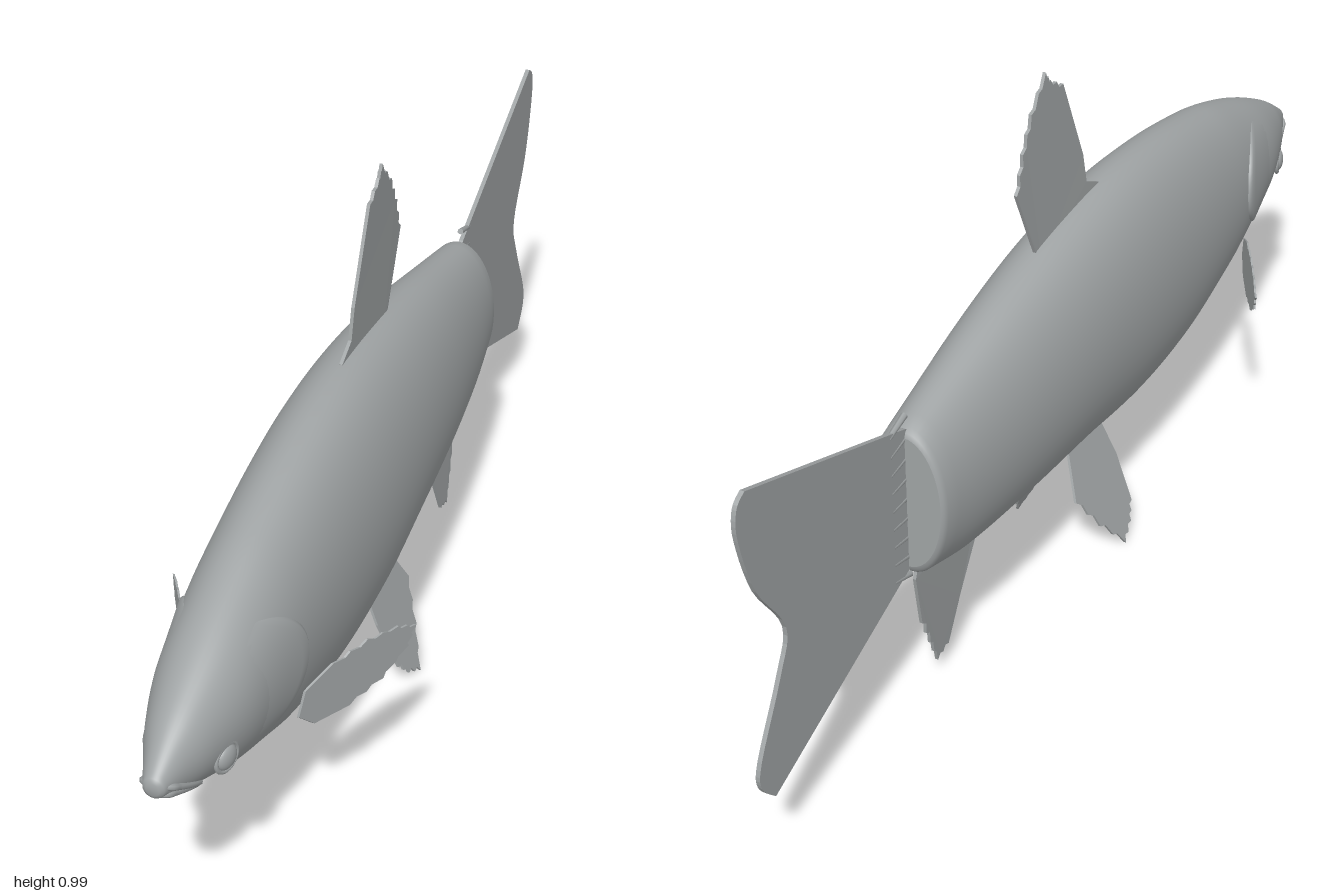
import * as THREE from 'three';

// Body stations: z, top y, bottom y, half width
const STATIONS = [
  [1, 0.468, 0.436, 0.016], [0.95, 0.502, 0.405, 0.036], [0.9, 0.532, 0.382, 0.056],
  [0.8, 0.58, 0.338, 0.084], [0.7, 0.618, 0.298, 0.096], [0.6, 0.648, 0.26, 0.105],
  [0.4, 0.685, 0.215, 0.117], [0.2, 0.7, 0.21, 0.122], [0, 0.687, 0.232, 0.118],
  [-0.2, 0.655, 0.245, 0.106], [-0.4, 0.61, 0.265, 0.087], [-0.52, 0.582, 0.295, 0.073],
];

// Smooth interpolation of the body stations
function station(z) {
  const S = STATIONS;
  let i = 0;
  while (i < S.length - 2 && z < S[i + 1][0]) i++;
  const a = S[i], b = S[i + 1], p = S[i - 1] || a, n = S[i + 2] || b;
  const d = b[0] - a[0], t = (z - a[0]) / d, t2 = t * t, t3 = t2 * t;
  return [1, 2, 3].map((k) => {
    const ma = ((b[k] - p[k]) / (b[0] - p[0])) * d;
    const mb = ((n[k] - a[k]) / (n[0] - a[0])) * d;
    return (2 * t3 - 3 * t2 + 1) * a[k] + (t3 - 2 * t2 + t) * ma + (3 * t2 - 2 * t3) * b[k] + (t3 - t2) * mb;
  });
}

// Point of the skin at length z and angle from the back (0) to the belly (PI)
function skin(z, angle, scale = 1, lift = 0) {
  const [top, bottom, w] = station(z);
  const r = (top - bottom) / 2;
  return [(w * scale + lift) * Math.sin(angle), (top + bottom) / 2 + r * scale * Math.cos(angle), z];
}

// Half width of the skin at a given z and y
function skinX(z, y) {
  const [top, bottom, w] = station(z);
  const v = (y - (top + bottom) / 2) / ((top - bottom) / 2);
  return w * Math.sqrt(Math.max(0, 1 - v * v));
}

// Smooth surface through rows of points
function loft(rows, closed) {
  const n = rows[0].length, index = [];
  for (let i = 0; i < rows.length - 1; i++) {
    for (let j = 0; j < (closed ? n : n - 1); j++) {
      const a = i * n + j, b = i * n + ((j + 1) % n);
      index.push(a, b, a + n, b, b + n, a + n);
    }
  }
  const g = new THREE.BufferGeometry();
  g.setAttribute('position', new THREE.Float32BufferAttribute(rows.flat(2), 3));
  g.setIndex(index);
  g.computeVertexNormals();
  return g;
}

// Thin fin from a [z, y] outline; lean(z, y) gives its sideways position
function finGeometry(outline, thickness, lean) {
  const shape = new THREE.Shape(outline.map(([z, y]) => new THREE.Vector2(-z, y)));
  const g = new THREE.ExtrudeGeometry(shape, { depth: thickness, bevelEnabled: false });
  g.translate(0, 0, -thickness / 2).rotateY(Math.PI / 2);
  const p = g.attributes.position;
  for (let i = 0; i < p.count; i++) p.setX(i, p.getX(i) + lean(p.getZ(i), p.getY(i)));
  g.computeVertexNormals();
  return g;
}

// Ragged edge: adds notches between outline points from..to
function ragged(points, from, to, depth = 0.008) {
  const cz = points.reduce((s, p) => s + p[0], 0) / points.length;
  const cy = points.reduce((s, p) => s + p[1], 0) / points.length;
  const out = [];
  points.forEach((p, i) => {
    out.push(p);
    if (i < from || i >= to) return;
    const q = points[i + 1];
    for (const [t, k] of [[0.3, 1], [0.5, 0], [0.8, 1]]) {
      const z = p[0] + (q[0] - p[0]) * t, y = p[1] + (q[1] - p[1]) * t;
      const l = Math.hypot(cz - z, cy - y);
      out.push([z + ((cz - z) / l) * depth * k, y + ((cy - y) / l) * depth * k]);
    }
  });
  return out;
}

export function createModel() {
  const fish = new THREE.Group();
  fish.name = 'fish';
  const grey = new THREE.MeshStandardMaterial({ color: 0xa0a4a5, side: THREE.DoubleSide });
  grey.name = 'grey';
  const add = (name, geometry) => {
    const m = new THREE.Mesh(geometry, grey);
    m.name = name;
    fish.add(m);
    return m;
  };

  // Body with a rounded snout and a flat rear end
  const SIDES = 48;
  const ring = (z, s) => Array.from({ length: SIDES }, (_, j) => skin(z, (j / SIDES) * Math.PI * 2, s));
  const rows = [ring(1, 0), ring(1, 0.7)];
  for (let i = 0; i <= 70; i++) {
    const t = i / 70;
    rows.push(ring(0.996 - 1.508 * Math.pow(t, 1.3), 1));
  }
  rows.push(ring(-0.52, 0.96), ring(-0.523, 0.9), ring(-0.523, 0.9), ring(-0.523, 0));
  add('body', loft(rows, true));

  // Tail fin with a curved fork
  const fork = new THREE.SplineCurve([
    [-0.965, 0.745], [-0.988, 0.725], [-0.99, 0.67], [-0.955, 0.555], [-0.885, 0.44],
    [-0.91, 0.36], [-0.975, 0.24], [-0.98, 0.19], [-0.945, 0.147],
  ].map(([z, y]) => new THREE.Vector2(z, y)));
  const tail = [[-0.5, 0.57], [-0.52, 0.583], ...fork.getPoints(40).map((v) => [v.x, v.y]), [-0.52, 0.305], [-0.5, 0.31]];
  add('tailFin', finGeometry(tail, 0.008, () => 0.002));

  // Short rays fanning out at the tail root
  for (let i = 0; i < 9; i++) {
    const k = i / 8 - 0.5;
    const ray = add('tailRay', new THREE.CylinderGeometry(0.002, 0.006, 0.16, 6));
    ray.rotation.x = -Math.PI / 2 - k * 0.6;
    ray.position.set(0.002, 0.447 + k * 0.27, -0.59);
  }

  // Back fin
  const dorsal = ragged([
    [0.15, 0.66], [0.165, 0.7], [0.12, 0.722], [0.11, 0.78], [0.045, 0.945], [0, 0.972], [-0.015, 0.992],
    [-0.07, 0.938], [-0.105, 0.88], [-0.132, 0.815], [-0.07, 0.67], [-0.05, 0.64],
  ], 4, 9);
  add('dorsalFin', finGeometry(dorsal, 0.006, (z, y) => Math.max(0, y - 0.7) * 0.035));

  // Rear belly fin
  const anal = ragged([
    [-0.29, 0.29], [-0.285, 0.25], [-0.35, 0.13], [-0.388, 0.048], [-0.425, 0.037],
    [-0.452, 0.095], [-0.482, 0.16], [-0.505, 0.27], [-0.49, 0.31],
  ], 3, 6);
  add('analFin', finGeometry(anal, 0.006, (z, y) => Math.max(0, 0.25 - y) * 0.045));

  const pelvic = ragged([
    [0.11, 0.25], [0.13, 0.22], [0.14, 0.147], [0.132, 0.056], [0.107, 0.028], [0.067, 0.006],
    [0.013, 0.07], [-0.03, 0.14], [0.008, 0.23], [0.02, 0.26],
  ], 3, 7);
  const pectoral = ragged([
    [0.607, 0.3], [0.635, 0.33], [0.622, 0.375], [0.57, 0.4], [0.505, 0.41], [0.445, 0.402],
    [0.41, 0.385], [0.425, 0.35], [0.475, 0.312], [0.54, 0.296],
  ], 3, 9, 0.006);

  for (const side of [1, -1]) {
    const label = side > 0 ? 'left' : 'right';

    // Paired fins
    add(label + 'PelvicFin', finGeometry(pelvic, 0.005, (z, y) => side * (0.03 + (0.21 - y) * 0.415)));
    add(label + 'PectoralFin', finGeometry(pectoral, 0.004, (z) => side * (0.215 - (z - 0.41) * 0.55)));

    // Gill cover: a raised plate with a curved rear lip
    const N = 24;
    const cover = [];
    for (const [t, lift] of [[0, -0.003], [0.3, 0.001], [0.6, 0.004], [0.85, 0.007], [0.96, 0.008], [1, 0.004], [1, -0.004]]) {
      cover.push(Array.from({ length: N + 1 }, (_, j) => {
        const s = ((side > 0 ? j : N - j) / N) * 2 - 1;
        const c = 0.08 - s * 0.72;
        const z = 0.81 + (0.62 + 0.11 * s * s - 0.81) * t;
        const p = skin(z, Math.acos(c), 1, lift * (1 - s ** 4) - 0.001);
        return [p[0] * side, p[1], p[2]];
      }));
    }
    add(label + 'GillCover', loft(cover, false));

    // Eye with a raised rim
    const x = skinX(0.865, 0.425);
    const eye = add(label + 'Eye', new THREE.SphereGeometry(0.022, 24, 16));
    eye.scale.x = 0.5;
    const rim = add(label + 'EyeRim', new THREE.TorusGeometry(0.025, 0.004, 8, 32));
    for (const m of [eye, rim]) {
      m.position.set(side * x, 0.425, 0.865);
      m.rotation.y = -side * 0.3;
    }
    rim.rotation.y = side * (Math.PI / 2 - 0.3);

    // Lips along the mouth line
    for (const [name, dy] of [['UpperLip', 0.008], ['LowerLip', -0.009]]) {
      const path = [];
      for (let i = 0; i <= 6; i++) {
        const z = 0.995 - i * 0.015, y = 0.45 - i * 0.0085 + dy * (1 - i / 8);
        path.push(new THREE.Vector3(side * (i ? skinX(z, y) - 0.001 : 0), y, z));
      }
      add(label + name, new THREE.TubeGeometry(new THREE.CatmullRomCurve3(path), 24, 0.006, 8));
    }
  }
  return fish;
}
